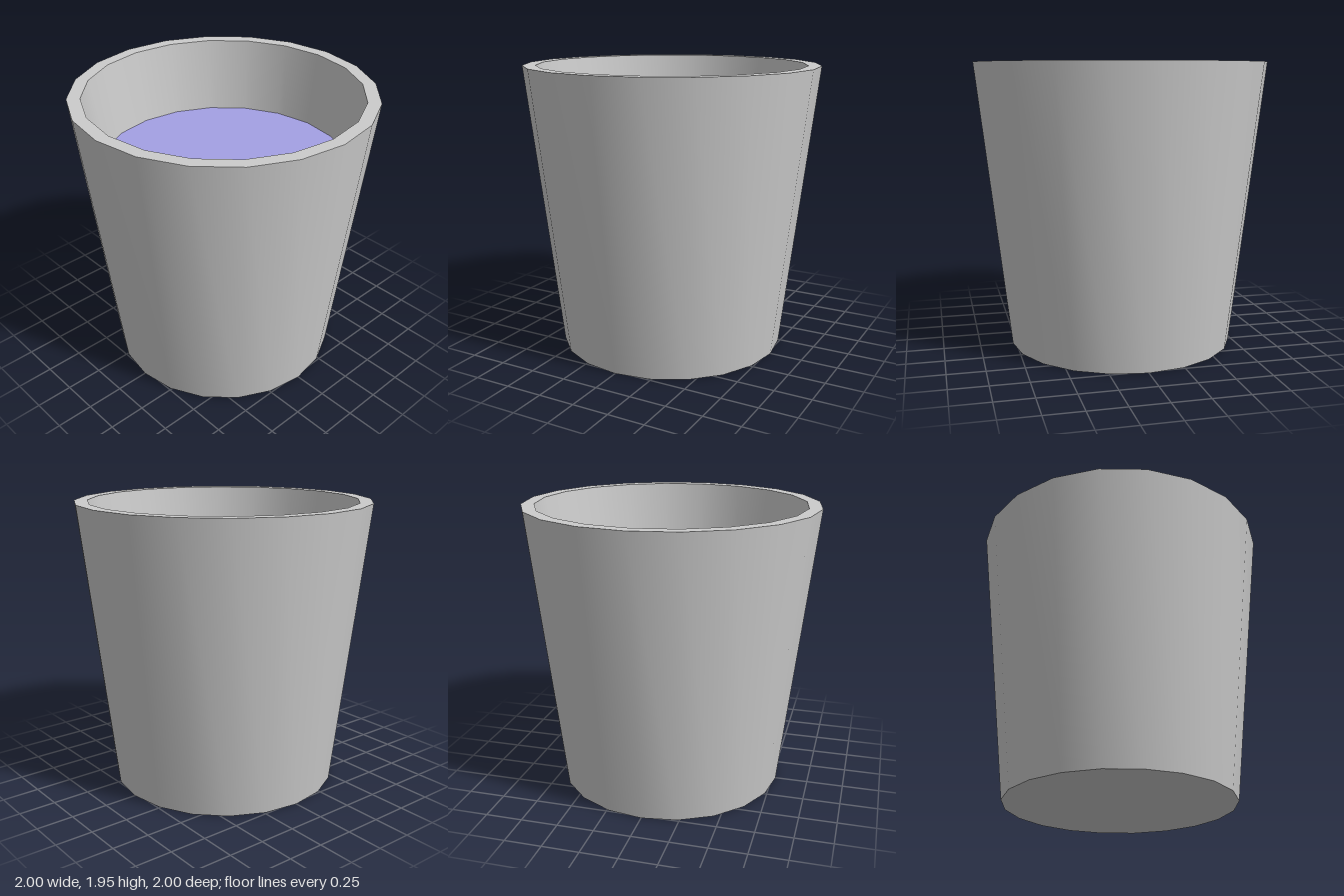
import * as THREE from 'three';
import { toCreasedNormals } from 'three/addons/utils/BufferGeometryUtils.js';

const SIDES = 20;
const HEIGHT = 1.95;
const LIQUID_LEVEL = 1.445;

export function createModel() {
  const model = new THREE.Group();
  model.name = 'cup';

  // Cup wall and floor: one closed profile, from the underside out, up and back inside
  const profile = [
    [0, 0], [0.775, 0], [1, HEIGHT], [0.912, HEIGHT], [0.64, 0.08], [0, 0.08],
  ].map(([r, y]) => new THREE.Vector2(r, y));
  const cup = new THREE.Mesh(
    toCreasedNormals(new THREE.LatheGeometry(profile, SIDES), 0.6),
    new THREE.MeshStandardMaterial({ color: 0xcccccc }),
  );
  cup.name = 'cupBody';
  model.add(cup);

  // Liquid surface, its rim meeting the inner wall
  const liquid = new THREE.Mesh(
    new THREE.CircleGeometry(0.841, SIDES).rotateX(-Math.PI / 2),
    new THREE.MeshStandardMaterial({ color: 0xa4a0e4, side: THREE.DoubleSide }),
  );
  liquid.name = 'liquid';
  liquid.position.y = LIQUID_LEVEL;
  model.add(liquid);

  return model;
}
